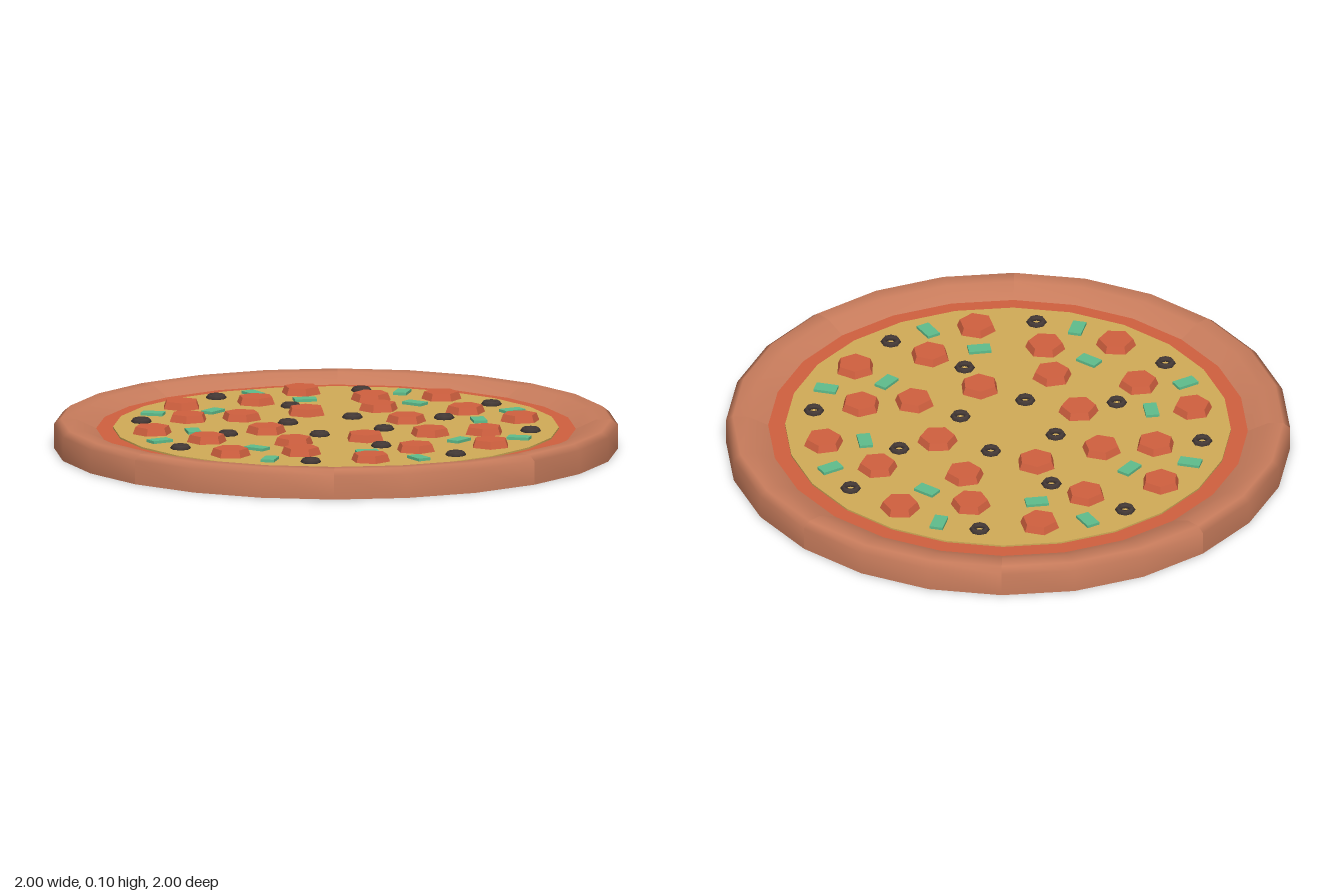
import * as THREE from 'three';

const mat = (name, color) => {
  const m = new THREE.MeshStandardMaterial({ color });
  m.name = name;
  return m;
};

export function createModel() {
  const crustMat = mat('baked crust', 0xc87c5c);
  const sauceMat = mat('tomato sauce', 0xd0603f);
  const cheeseMat = mat('cheese', 0xd2ac57);
  const pepperoniMat = mat('pepperoni red', 0xd0603f);
  const oliveMat = mat('olive black', 0x453a37);
  const pepperMat = mat('pepper green', 0x5fbd8c);

  // One eighth of a turned profile, three facets wide
  const wedge = (pts) => {
    const g = new THREE.LatheGeometry(
      pts.map(([x, y]) => new THREE.Vector2(x, y)), 3, Math.PI * 0.75, Math.PI / 4);
    g.computeVertexNormals();
    return g;
  };
  const base = wedge([[0, 0], [1, 0]]);
  const wall = wedge([[1, 0], [1, 0.085], [0.975, 0.105], [0.92, 0.103], [0.85, 0.07]]);
  const sauce = wedge([[0.86, 0.07], [0.77, 0.07]]);
  const cheeseTop = wedge([[0.79, 0.076], [0, 0.076]]);
  const cheeseEdge = wedge([[0.79, 0.069], [0.79, 0.076]]);

  // Topping shapes
  const pepperoni = new THREE.CylinderGeometry(0.061, 0.073, 0.03, 6).toNonIndexed();
  pepperoni.computeVertexNormals();
  const olive = new THREE.TorusGeometry(0.025, 0.012, 5, 8).rotateX(Math.PI / 2);
  const pepper = new THREE.BoxGeometry(0.08, 0.012, 0.048);

  // Toppings per slice: x, z, turn in degrees
  const shared = [
    ['pepperoni', 0.37, -0.55, 30], ['pepperoni', 0.12, -0.525, 25],
    ['olive', 0.085, -0.69, 0],
    ['pepper', 0.23, -0.65, 77], ['pepper', 0.277, -0.437, -35],
  ];
  const even = [['pepperoni', 0.10, -0.25, 20], ['olive', 0.155, -0.385, 0]];
  const odd = [['pepperoni', 0.148, -0.335, 45], ['olive', 0.057, -0.17, 0]];
  const kinds = {
    pepperoni: [pepperoni, pepperoniMat, 0.087],
    olive: [olive, oliveMat, 0.08],
    pepper: [pepper, pepperMat, 0.08],
  };

  const pizza = new THREE.Group();
  pizza.name = 'pizza';
  for (let k = 0; k < 8; k++) {
    const slice = new THREE.Group();
    slice.name = 'slice';
    slice.rotation.y = -k * Math.PI / 4;
    const add = (name, geometry, material) => {
      const m = new THREE.Mesh(geometry, material);
      m.name = name;
      slice.add(m);
      return m;
    };
    add('crustBase', base, crustMat);
    add('crustRim', wall, crustMat);
    add('sauce', sauce, sauceMat);
    add('cheese', cheeseTop, cheeseMat);
    add('cheeseEdge', cheeseEdge, cheeseMat);
    for (const [kind, x, z, turn] of [...shared, ...(k % 2 ? odd : even)]) {
      const [geometry, material, y] = kinds[kind];
      const m = add(kind, geometry, material);
      m.position.set(x, y, z);
      m.rotation.y = THREE.MathUtils.degToRad(turn);
    }
    pizza.add(slice);
  }
  return pizza;
}
